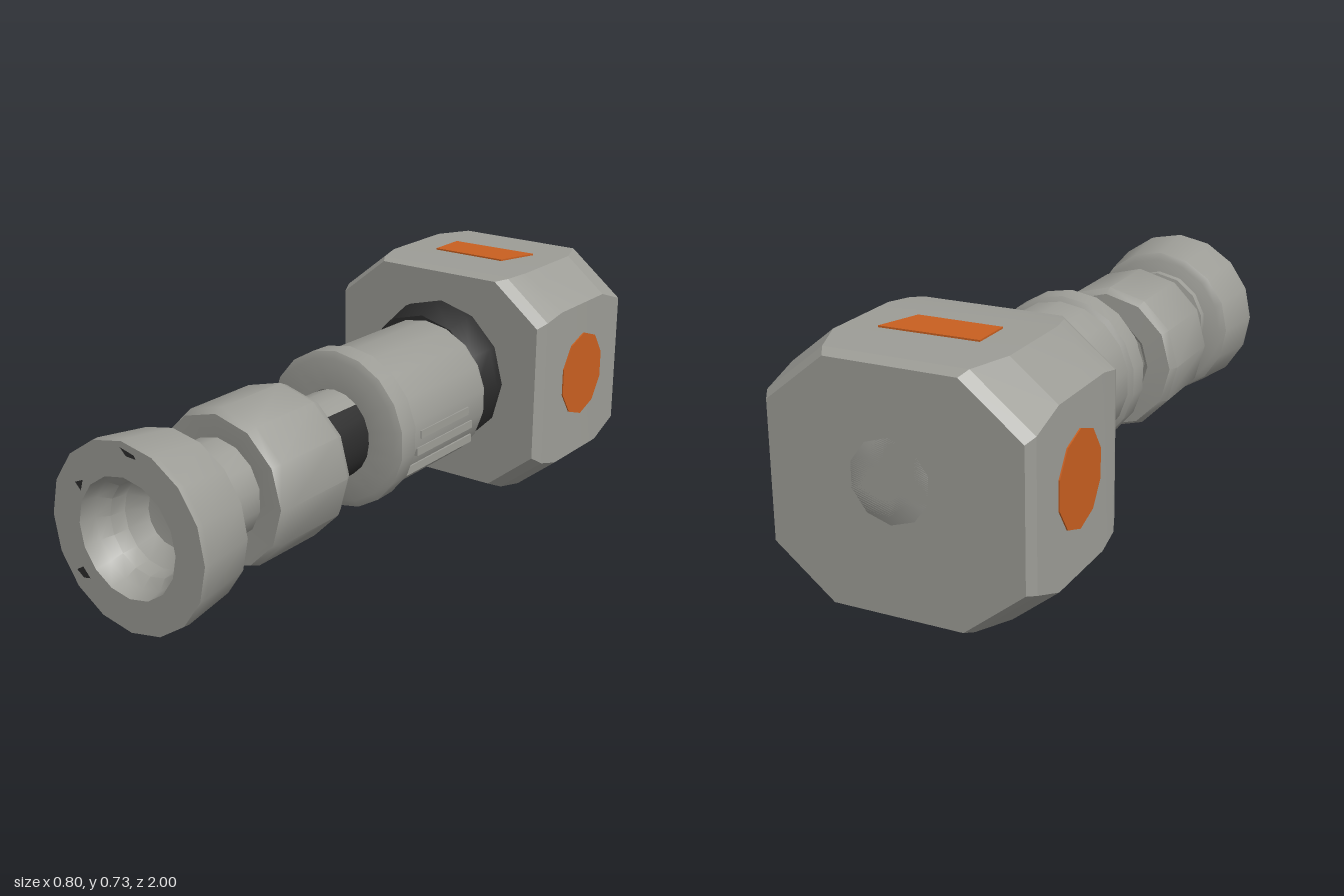
import * as THREE from 'three';
import { toCreasedNormals } from 'three/addons/utils/BufferGeometryUtils.js';

const mat = (name, color) => {
  const m = new THREE.MeshStandardMaterial({ color });
  m.name = name;
  return m;
};

export function createModel() {
  const grey = mat('stone grey', 0x9c9c96);
  const dark = mat('charcoal', 0x2b2b2b);
  const orange = mat('burnt orange', 0xc85f20);
  const group = new THREE.Group();

  const add = (name, geometry, material, x = 0, y = 0, z = 0) => {
    const m = new THREE.Mesh(geometry, material);
    m.name = name;
    m.position.set(x, y, z);
    group.add(m);
    return m;
  };

  // Turned part along z; profile is [radius, z] pairs from back to front
  const turned = (name, profile, sides, material, x, y, from = 0, sweep = Math.PI * 2) => {
    const pts = profile.map(([r, z]) => new THREE.Vector2(r, z));
    const g = new THREE.LatheGeometry(pts, sides, from, sweep).rotateX(Math.PI / 2);
    return add(name, toCreasedNormals(g, 0.65), material, x, y);
  };

  // Flat polygon plate facing +z, given as a list of corners
  const plate = (corners, depth = 0.008) => new THREE.ExtrudeGeometry(
    new THREE.Shape(corners.map(([x, y]) => new THREE.Vector2(x, y))),
    { depth, bevelEnabled: false });

  // Hammer head: octagonal rings [z, half width, bottom, top, corner cut]
  const rings = [
    [-1.0, 0.375, 0.02, 0.71, 0.18],
    [-0.97, 0.392, 0.012, 0.725, 0.18],
    [-0.85, 0.394, 0.002, 0.73, 0.135],
    [-0.58, 0.394, 0.002, 0.73, 0.135],
    [-0.5, 0.39, 0.012, 0.725, 0.15],
    [-0.46, 0.375, 0.03, 0.72, 0.16],
  ];
  const pos = [], idx = [];
  rings.forEach(([z, w, b, t, c]) => {
    const k = c * 0.8;
    [[w, b + k], [w, t - k], [w - c, t], [c - w, t], [-w, t - k], [-w, b + k], [c - w, b], [w - c, b]]
      .forEach(([x, y]) => pos.push(x, y, z));
  });
  for (let r = 0; r < rings.length - 1; r++) {
    for (let i = 0; i < 8; i++) {
      const a = r * 8 + i, b = r * 8 + (i + 1) % 8;
      idx.push(a, b, b + 8, a, b + 8, a + 8);
    }
  }
  const last = (rings.length - 1) * 8;
  for (let i = 1; i < 7; i++) {
    idx.push(0, i + 1, i);
    idx.push(last, last + i, last + i + 1);
  }
  const headGeo = new THREE.BufferGeometry();
  headGeo.setAttribute('position', new THREE.Float32BufferAttribute(pos, 3));
  headGeo.setIndex(idx);
  add('head', toCreasedNormals(headGeo, 0.2), grey);

  // Shallow round boss on the back of the head
  turned('backBoss', [[0, -1.0], [0.12, -1.0], [0.14, -0.99]], 10, grey, 0.01, 0.4);

  // Orange inlays on both sides and the top
  const oval = [];
  for (let i = 0; i < 10; i++) {
    const a = (i + 0.5) / 10 * Math.PI * 2;
    oval.push([0.13 * Math.cos(a), 0.14 * Math.sin(a)]);
  }
  for (const s of [1, -1]) {
    const inlay = add(s > 0 ? 'leftInlay' : 'rightInlay', plate(oval), orange, s * 0.39, 0.38, -0.73);
    inlay.rotation.y = s * Math.PI / 2;
  }
  const topInlay = add('topInlay',
    plate([[-0.14, 0.66], [0.115, 0.66], [0.16, 0.79], [-0.14, 0.785]]), orange, 0, 0.727, 0);
  topInlay.rotation.x = -Math.PI / 2;

  // Dark collar where the handle enters the head
  turned('headCollar', [[0.24, -0.47], [0.24, -0.43], [0.215, -0.35], [0, -0.35]], 12, dark, 0.015, 0.385);

  // Long sleeve with its front flange
  turned('sleeve', [[0, -0.365], [0.215, -0.365], [0.228, -0.34], [0.23, 0.05],
    [0.245, 0.06], [0.247, 0.13], [0.225, 0.14], [0.13, 0.14], [0.12, 0.1], [0, 0.1]], 18, grey, 0.035, 0.362);

  // Raised ribs along the sleeve side
  for (const [y, len] of [[0.25, 0.36], [0.31, 0.3], [0.36, 0.26]]) {
    add('sleeveRib', new THREE.BoxGeometry(0.03, 0.025, len), grey, 0.25 - (y < 0.3 ? 0.02 : 0), y, -0.12);
  }

  // Rear neck, dark on one side
  const neck = [[0.135, 0.08], [0.138, 0.34]];
  turned('rearNeckDark', neck, 8, dark, 0.03, 0.35, 0, 2.5);
  turned('rearNeck', neck, 10, grey, 0.03, 0.35, 2.5, Math.PI * 2 - 2.5);

  // Faceted middle grip
  turned('middleGrip', [[0, 0.34], [0.13, 0.34], [0.15, 0.315], [0.225, 0.32], [0.24, 0.35],
    [0.24, 0.6], [0.228, 0.63], [0.15, 0.63], [0, 0.61]], 12, grey, 0.003, 0.325);

  // Front neck with small flange
  turned('frontNeck', [[0.15, 0.6], [0.15, 0.765], [0.172, 0.77], [0.172, 0.81]], 14, grey, 0.01, 0.335);

  // Hollow end cap
  turned('endCap', [[0, 0.795], [0.23, 0.795], [0.252, 0.81], [0.275, 0.98], [0.274, 1.0],
    [0.174, 1.0], [0.165, 0.95], [0.14, 0.92], [0.135, 0.87], [0.09, 0.825], [0, 0.815]], 16, grey, 0.015, 0.318);

  // Small dark nicks on the end cap face
  const nicks = [
    [[0.01, 0.575], [0.03, 0.555], [0.065, 0.553], [0.06, 0.563]],
    [[-0.165, 0.435], [-0.145, 0.415], [-0.135, 0.448]],
    [[-0.18, 0.175], [-0.155, 0.157], [-0.13, 0.162], [-0.155, 0.19]],
  ];
  nicks.forEach((n) => {
    const shape = new THREE.Shape(n.map(([x, y]) => new THREE.Vector2(x, y)));
    add('capNick', new THREE.ShapeGeometry(shape), dark, 0, 0, 1.001);
  });

  return group;
}
